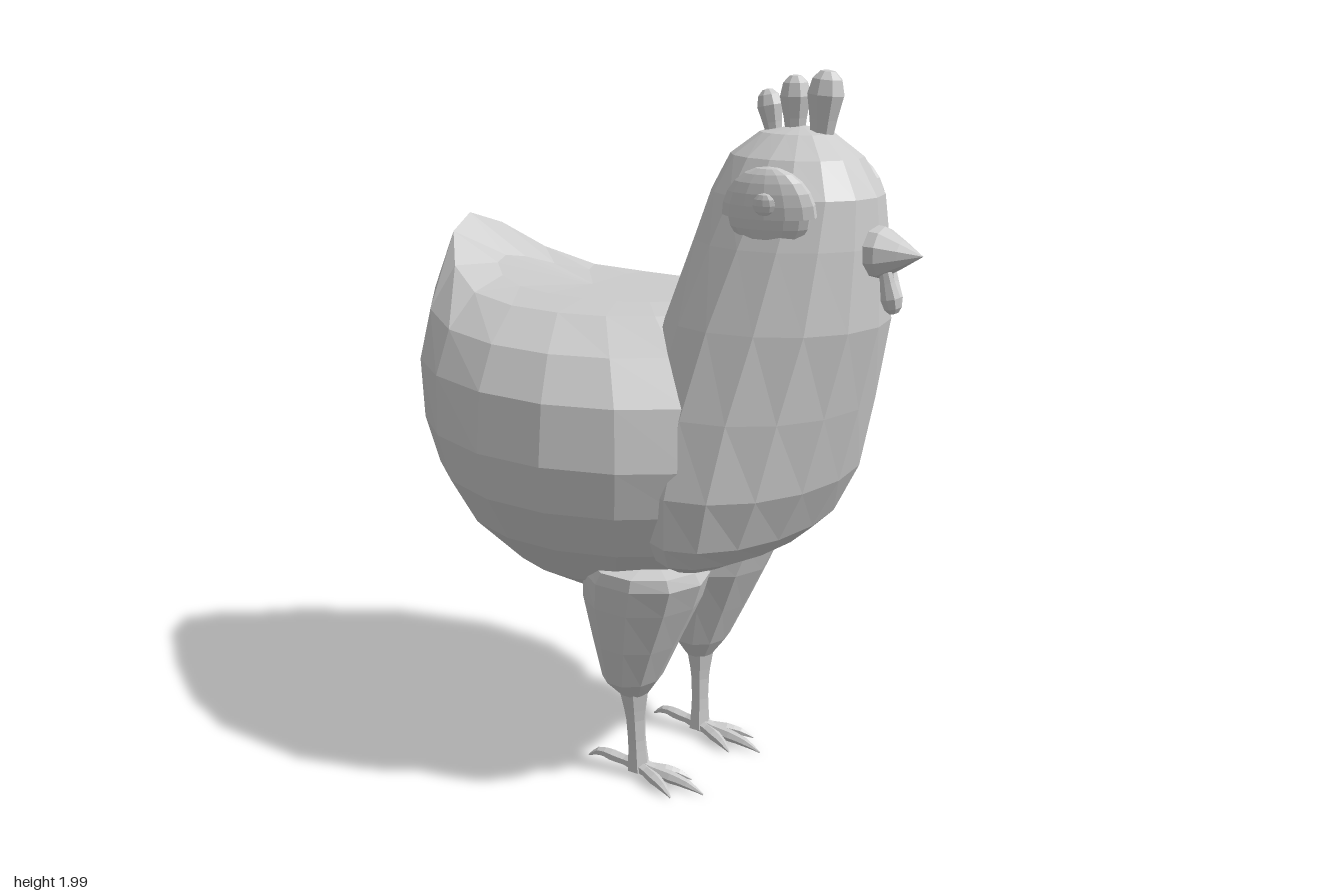
import * as THREE from 'three';

const grey = new THREE.MeshStandardMaterial({ color: 0xcccccc, flatShading: true });

function add(parent, name, geometry, x = 0, y = 0, z = 0) {
  const mesh = new THREE.Mesh(geometry, grey);
  mesh.name = name;
  mesh.position.set(x, y, z);
  parent.add(mesh);
  return mesh;
}

// Skin over horizontal rings, bottom to top.
// Ring: [y, half width, front z, widest z, back z, lift of the rear, centre x]
function loft(rings, sides) {
  const pos = [], index = [];
  for (const [y, w, front, mid, back, lift = 0, cx = 0] of rings) {
    for (let j = 0; j < sides; j++) {
      const a = (j / sides) * Math.PI * 2, c = Math.cos(a);
      pos.push(
        cx + w * Math.sin(a),
        y + lift * Math.pow(Math.max(0, -c), 4),
        mid + c * (c > 0 ? front - mid : mid - back));
    }
  }
  for (let i = 0; i < rings.length - 1; i++) {
    for (let j = 0; j < sides; j++) {
      const k = (j + 1) % sides;
      const a = i * sides + j, b = i * sides + k, c = a + sides, d = b + sides;
      index.push(a, b, c, b, d, c);
    }
  }
  const g = new THREE.BufferGeometry();
  g.setAttribute('position', new THREE.Float32BufferAttribute(pos, 3));
  g.setIndex(index);
  g.computeVertexNormals();
  return g;
}

// Tube along points whose radius follows a list of values
function limb(points, radii, sides = 6) {
  const curve = new THREE.CatmullRomCurve3(points.map(p => new THREE.Vector3(...p)));
  const steps = 8;
  const g = new THREE.TubeGeometry(curve, steps, 1, sides, false);
  const p = g.attributes.position, v = new THREE.Vector3();
  for (let i = 0; i < p.count; i++) {
    const t = Math.floor(i / (sides + 1)) / steps;
    const s = t * (radii.length - 1), k = Math.min(Math.floor(s), radii.length - 2);
    const r = THREE.MathUtils.lerp(radii[k], radii[k + 1], s - k);
    const c = curve.getPointAt(t);
    v.fromBufferAttribute(p, i).sub(c).multiplyScalar(r).add(c);
    p.setXYZ(i, v.x, v.y, v.z);
  }
  g.computeVertexNormals();
  return g;
}

// Rounded lobe, narrow at the base
function lobe(height, r) {
  const profile = [[0, 0], [0.6, 0.02], [0.75, 0.3], [1, 0.65], [0.8, 0.87], [0.4, 0.98], [0, 1]];
  return new THREE.LatheGeometry(profile.map(([x, y]) => new THREE.Vector2(x * r, y * height)), 8);
}

function makeEye(side) {
  const eye = new THREE.Group();
  eye.name = side > 0 ? 'leftEye' : 'rightEye';
  const ball = add(eye, 'eyeball', new THREE.SphereGeometry(0.1, 14, 10));
  ball.scale.set(0.34, 0.9, 1.05);
  const lid = add(eye, 'upperEyelid', new THREE.SphereGeometry(0.12, 14, 6, 0, Math.PI * 2, 0, Math.PI / 2));
  lid.scale.set(0.36, 1, 1);
  const lidBase = add(eye, 'eyelidEdge', new THREE.CircleGeometry(0.12, 14).rotateX(Math.PI / 2));
  lidBase.scale.set(0.36, 1, 1);
  add(eye, 'pupil', new THREE.SphereGeometry(0.03, 10, 6).scale(0.4, 1, 1), 0.036, 0.035, 0.0);
  eye.position.set(side * 0.2, 1.665, 0.445);
  eye.rotation.set(0, side > 0 ? -0.24 : Math.PI + 0.24, side * 0.14);
  return eye;
}

function makeLeg(side) {
  const leg = new THREE.Group();
  leg.name = side > 0 ? 'leftLeg' : 'rightLeg';
  const s = side;
  add(leg, 'thigh', loft([
    [0.265, 0, 0.01, 0.01, 0.01, 0, s * 0.165],
    [0.275, 0.045, 0.05, 0.01, -0.035, 0, s * 0.165],
    [0.33, 0.092, 0.09, 0.01, -0.075, 0, s * 0.173],
    [0.45, 0.125, 0.15, 0.03, -0.095, 0, s * 0.178],
    [0.58, 0.16, 0.215, 0.05, -0.12, 0, s * 0.178],
    [0.66, 0.165, 0.248, 0.07, -0.11, 0, s * 0.19],
    [0.695, 0.15, 0.235, 0.08, -0.08, 0, s * 0.2],
    [0.72, 0, 0.1, 0.1, 0.1, 0, s * 0.2],
  ], 10));
  add(leg, 'shank', limb(
    [[s * 0.168, 0.29, 0.01], [s * 0.163, 0.16, 0.012], [s * 0.157, 0.03, 0.015]],
    [0.046, 0.03, 0.027, 0.034]));
  // Three toes forward, one back
  const toes = [
    ['middleToe', 0.15, 0.235], ['outerToe', 0.218, 0.17],
    ['innerToe', 0.098, 0.16], ['backToe', 0.165, -0.16],
  ];
  for (const [name, x, z] of toes) {
    const back = z < 0;
    const at = (t, y) => [s * (0.157 + (x - 0.157) * t), y, 0.015 + (z - 0.015) * t];
    add(leg, name, limb(
      [at(0, 0.04), at(0.4, back ? 0.043 : 0.035), at(0.75, back ? 0.046 : 0.028), at(1, back ? 0.022 : 0.012)],
      [0.024, 0.016, 0.018, 0.013, 0.002]));
  }
  return leg;
}

export function createModel() {
  const hen = new THREE.Group();
  hen.name = 'hen';

  // Round body whose upper rim rises to a tail point around a shallow hollow
  add(hen, 'bodyAndTail', loft([
    [0.545, 0, -0.17, -0.17, -0.17],
    [0.555, 0.16, 0.0, -0.16, -0.29],
    [0.64, 0.31, 0.18, -0.14, -0.47],
    [0.77, 0.44, 0.35, -0.13, -0.61],
    [0.9, 0.515, 0.43, -0.12, -0.68],
    [1.03, 0.54, 0.47, -0.12, -0.725],
    [1.19, 0.518, 0.44, -0.12, -0.755],
    [1.3, 0.445, 0.34, -0.14, -0.748, 0.07],
    [1.375, 0.31, 0.2, -0.2, -0.705, 0.178],
    [1.39, 0.18, 0.1, -0.2, -0.57, 0.05],
    [1.39, 0, -0.25, -0.25, -0.25],
  ], 18));

  // Chest, neck and head in one tapering form
  add(hen, 'chestNeckAndHead', loft([
    [0.7, 0, 0.25, 0.25, 0.25],
    [0.71, 0.25, 0.31, 0.22, 0.12],
    [0.76, 0.345, 0.41, 0.25, 0.1],
    [0.82, 0.378, 0.475, 0.26, 0.08],
    [0.96, 0.392, 0.55, 0.27, 0.05],
    [1.16, 0.355, 0.6, 0.29, 0.03],
    [1.38, 0.298, 0.648, 0.33, 0.07],
    [1.58, 0.24, 0.642, 0.38, 0.14],
    [1.7, 0.2, 0.63, 0.41, 0.18],
    [1.79, 0.145, 0.575, 0.41, 0.225],
    [1.845, 0.075, 0.5, 0.41, 0.3],
    [1.865, 0, 0.41, 0.41, 0.41],
  ], 16));

  // Comb: three lobes, smaller toward the back
  for (const [z, y, height, r, tilt] of [
    [0.47, 1.83, 0.17, 0.05, 0.08], [0.395, 1.835, 0.15, 0.042, -0.02], [0.335, 1.83, 0.12, 0.035, -0.2]]) {
    const part = add(hen, 'combLobe', lobe(height, r), 0, y, z);
    part.scale.x = 0.85;
    part.rotation.x = tilt;
  }

  // Beak
  const beakProfile = [[0, -0.04], [0.068, -0.01], [0.064, 0.025], [0.035, 0.075], [0, 0.13]];
  add(hen, 'beak', new THREE.LatheGeometry(beakProfile.map(p => new THREE.Vector2(...p)), 10)
    .rotateX(Math.PI / 2), 0, 1.568, 0.63);

  for (const side of [1, -1]) {
    // Wattle hanging below the beak
    const wattle = add(hen, 'wattle', lobe(0.115, 0.022), side * 0.014, 1.53, 0.665);
    wattle.rotation.set(Math.PI - 0.2, 0, side * 0.1);
    wattle.scale.z = 1.25;
    hen.add(makeEye(side), makeLeg(side));
  }
  return hen;
}
